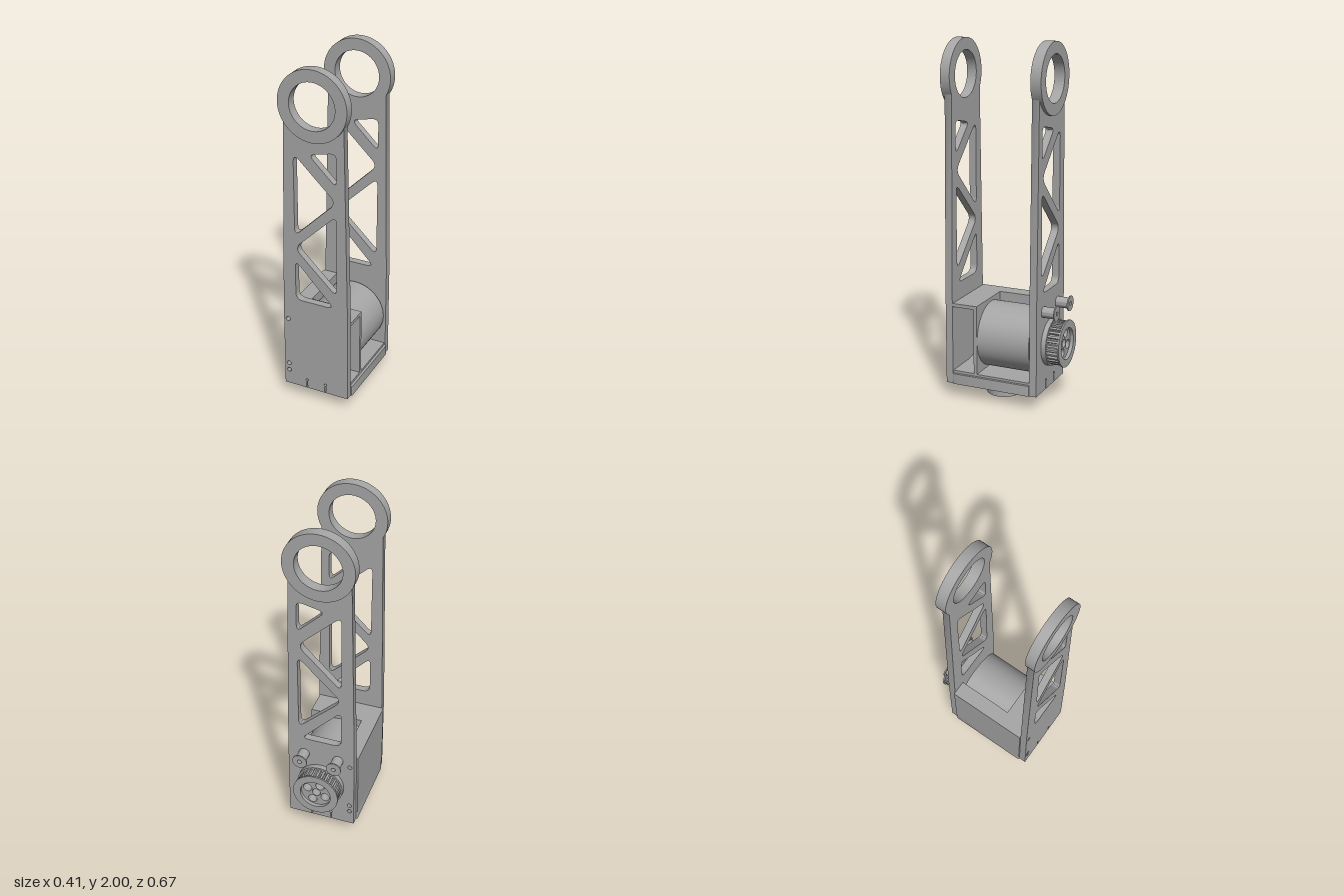
import * as THREE from 'three';
import { toCreasedNormals } from 'three/addons/utils/BufferGeometryUtils.js';

const metal = new THREE.MeshStandardMaterial({ color: 0xa6a6a6 });
metal.name = 'plain grey metal';

const circle = (x, y, r) => new THREE.Path().absarc(x, y, r, 0, Math.PI * 2, false);
const polygon = pts => new THREE.Shape(pts.map(p => new THREE.Vector2(...p)));

function disc(r, holes = [], x = 0, y = 0) {
  const s = new THREE.Shape();
  s.absarc(x, y, r, 0, Math.PI * 2, false);
  s.holes.push(...holes);
  return s;
}

// closed polygon with rounded corners
function rounded(pts, r, Type = THREE.Path) {
  const path = new Type();
  const v = pts.map(p => new THREE.Vector2(...p));
  v.forEach((c, i) => {
    const toward = o => c.clone().add(o.clone().sub(c).setLength(r));
    const a = toward(v[(i + v.length - 1) % v.length]);
    const b = toward(v[(i + 1) % v.length]);
    if (i) path.lineTo(a.x, a.y); else path.moveTo(a.x, a.y);
    path.quadraticCurveTo(c.x, c.y, b.x, b.y);
  });
  path.closePath();
  return path;
}

const rect = (x0, y0, x1, y1) => [[x0, y0], [x1, y0], [x1, y1], [x0, y1]];

// extrude a shape between two depths
function slabGeometry(shape, z0, z1) {
  const g = new THREE.ExtrudeGeometry(shape, { depth: z1 - z0, bevelEnabled: false, curveSegments: 32 });
  g.translate(0, 0, z0);
  return toCreasedNormals(g, 0.5);
}

export function createModel() {
  const model = new THREE.Group();
  model.name = 'twin arm link';

  const slab = (name, shape, z0, z1, parent = model) => {
    const m = new THREE.Mesh(slabGeometry(shape, z0, z1), metal);
    m.name = name;
    parent.add(m);
    return m;
  };
  // extrude upward from y0 to y1; shape y is -z
  const layer = (name, shape, y0, y1) => {
    const m = slab(name, shape, y0, y1);
    m.rotation.x = -Math.PI / 2;
    return m;
  };

  // side plate with truss windows, bolt holes and slots
  const eyeY = 1.805;
  function plateShape() {
    const s = new THREE.Shape();
    s.moveTo(-0.196, 0.08);
    s.lineTo(0.196, 0.08);
    s.lineTo(0.195, 0.6);
    s.lineTo(0.172, 1.72);
    const a = Math.atan2(-0.085, 0.172);
    s.absarc(0, eyeY, 0.19, a, Math.PI - a, false);
    s.lineTo(-0.172, 1.72);
    s.lineTo(-0.195, 0.6);
    s.closePath();
    s.holes.push(
      circle(0, eyeY, 0.135),
      rounded([[-0.03, 1.535], [0.13, 1.57], [0.13, 1.38]], 0.04),
      rounded([[-0.118, 1.525], [0.128, 1.29], [-0.118, 1.045]], 0.05),
      rounded([[0.13, 1.215], [-0.12, 0.97], [0.13, 0.73]], 0.05),
      rounded([[-0.118, 0.895], [0.115, 0.65], [-0.118, 0.65]], 0.045));
    for (const y of [0.51, 0.215, 0.17]) s.holes.push(circle(-0.17, y, 0.013));
    for (const x of [-0.058, 0.058]) {
      s.holes.push(new THREE.Path(rect(x - 0.004, 0.085, x + 0.004, 0.122).map(p => new THREE.Vector2(...p))));
      s.holes.push(circle(x, 0.132, 0.008));
    }
    return s;
  }
  const sides = [['front', 0.277, 0.318, 0.277, 0.333], ['back', -0.232, -0.19, -0.25, -0.19]];
  for (const [side, p0, p1, r0, r1] of sides) {
    slab(side + 'SidePlate', plateShape(), p0, p1);
    slab(side + 'BearingRing', disc(0.196, [circle(0, eyeY, 0.13)], 0, eyeY), r0, r1);
  }

  // housing between the plates: a bore that opens toward +x
  const cy = 0.3425, bore = 0.1875;
  const cavity = new THREE.Shape();
  cavity.moveTo(0.19, 0.14);
  cavity.lineTo(0.19, 0.155);
  cavity.lineTo(0, 0.155);
  cavity.absarc(0, cy, bore, Math.PI * 1.5, Math.PI * 0.5, true);
  cavity.lineTo(0.19, 0.53);
  cavity.lineTo(0.19, 0.55);
  cavity.lineTo(-0.205, 0.55);
  cavity.lineTo(-0.205, 0.14);
  slab('frontHousing', cavity, 0.15, 0.277);
  slab('middleWall', polygon(rect(-0.205, 0.14, 0.19, 0.55)), 0.13, 0.15);

  const cradle = new THREE.Shape();
  cradle.moveTo(0.19, 0.14);
  cradle.lineTo(0.19, 0.153);
  cradle.lineTo(0, 0.153);
  cradle.absarc(0, cy, 0.1895, Math.PI * 1.5, Math.acos(-0.118 / 0.1895), true);
  cradle.lineTo(-0.118, 0.55);
  cradle.lineTo(-0.205, 0.55);
  cradle.lineTo(-0.205, 0.14);
  slab('motorCradle', cradle, -0.19, 0.13);

  // motor
  slab('motorBody', disc(0.186, [], 0, cy), -0.18, 0.13);
  slab('motorBoss', disc(0.03, [], 0, cy), -0.19, -0.18);

  // floor: a solid upper layer and a lower layer with pockets
  const base = rect(-0.205, -0.277, 0.205, 0.19);
  layer('floorUpper', rounded(base, 0.01, THREE.Shape), 0.1, 0.14);
  const lower = rounded(base, 0.01, THREE.Shape);
  for (const z of [0.21, -0.115])
    lower.holes.push(rounded(rect(-0.09, -z - 0.035, 0.09, -z + 0.035), 0.02));
  layer('floorLower', lower, 0.08, 0.1);

  // mounting hub under the floor
  const hubZ = 0.05;
  layer('hubFlange', disc(0.115, [], 0, -hubZ), 0.064, 0.08);
  const hubHoles = [circle(0, -hubZ, 0.035)];
  for (let i = 0; i < 4; i++) {
    const a = Math.PI / 4 + i * Math.PI / 2;
    hubHoles.push(circle(0.066 * Math.cos(a), -hubZ + 0.066 * Math.sin(a), 0.018));
  }
  layer('hubBody', disc(0.096, hubHoles, 0, -hubZ), 0, 0.064);

  // toothed drive pulley on the back
  const pulley = new THREE.Group();
  pulley.name = 'drivePulley';
  pulley.position.y = cy;
  model.add(pulley);
  const teeth = [], count = 30;
  for (let i = 0; i < count; i++)
    for (const [f, r] of [[0, 0.112], [0.3, 0.112], [0.42, 0.126], [0.88, 0.126]]) {
      const a = (i + f) / count * Math.PI * 2;
      teeth.push([r * Math.cos(a), r * Math.sin(a)]);
    }
  const gear = polygon(teeth);
  gear.holes.push(circle(0, 0, 0.09));
  slab('pulleyTeeth', gear, -0.326, -0.258, pulley);
  slab('outerFlange', disc(0.133, [circle(0, 0, 0.09)]), -0.335, -0.326, pulley);
  slab('innerFlange', disc(0.135), -0.26, -0.23, pulley);
  const webHoles = [circle(0, 0, 0.024)];
  for (let i = 0; i < 4; i++) {
    const a = i * Math.PI / 2 + 0.4;
    webHoles.push(circle(0.057 * Math.cos(a), 0.057 * Math.sin(a), 0.026));
  }
  slab('pulleyWeb', disc(0.092, webHoles), -0.315, -0.26, pulley);

  // belt idlers above the pulley
  for (const x of [-0.1, 0.1]) {
    const idler = new THREE.Group();
    idler.name = x > 0 ? 'leftIdler' : 'rightIdler';
    idler.position.set(x, 0.543, 0);
    model.add(idler);
    slab('idlerBody', disc(0.031, [circle(0, 0, 0.012)]), -0.305, -0.23, idler);
    slab('idlerFlange', disc(0.043, [circle(0, 0, 0.012)]), -0.312, -0.305, idler);
  }
  return model;
}
